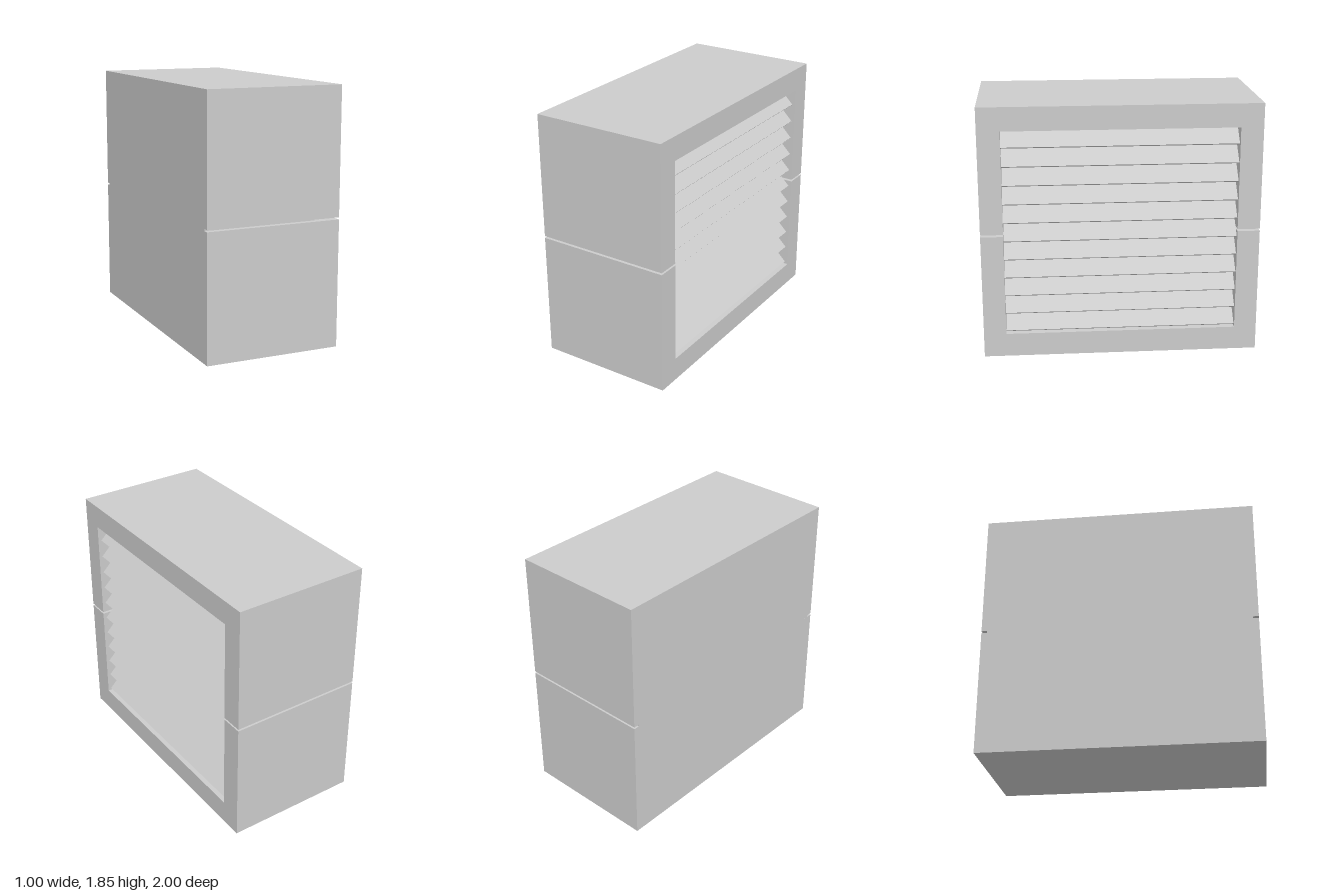
import * as THREE from 'three';

const W = 1, H = 1.85, D = 2;              // overall size
const OPEN_Z = 0.838, OPEN_X = 0.33;       // recess half width and its back plane
const OPEN_Y0 = 0.173, OPEN_Y1 = 1.68;     // recess bottom and top
const GAP_Y0 = 0.918, GAP_Y1 = 0.933;      // seam between the two halves
const SLATS = 11;

export function createModel() {
  const group = new THREE.Group();
  const material = new THREE.MeshStandardMaterial({ color: 0xcccccc, flatShading: true });

  const add = (name, geometry, x, y, z) => {
    const mesh = new THREE.Mesh(geometry, material);
    mesh.name = name;
    mesh.position.set(x, y, z);
    group.add(mesh);
    return mesh;
  };
  const slab = (name, y0, y1) =>
    add(name, new THREE.BoxGeometry(W, y1 - y0, D), 0, (y0 + y1) / 2, 0);

  // C-shaped plan of the casing, open towards +x
  const plan = new THREE.Shape([
    [-W / 2, -D / 2], [W / 2, -D / 2], [W / 2, -OPEN_Z], [OPEN_X, -OPEN_Z],
    [OPEN_X, OPEN_Z], [W / 2, OPEN_Z], [W / 2, D / 2], [-W / 2, D / 2],
  ].map(([x, z]) => new THREE.Vector2(x, z)));
  const casing = (name, y0, y1) => {
    const geometry = new THREE.ExtrudeGeometry(plan, { depth: y1 - y0, bevelEnabled: false });
    geometry.rotateX(-Math.PI / 2);
    add(name, geometry, 0, y0, 0);
  };

  // Lower and upper casing halves with their solid floor and roof
  slab('casingFloor', 0, OPEN_Y0);
  casing('lowerCasing', OPEN_Y0, GAP_Y0);
  casing('upperCasing', GAP_Y1, OPEN_Y1);
  slab('casingRoof', OPEN_Y1, H);

  // Inner core, set back in the seam at front and rear
  add('seamCore', new THREE.BoxGeometry(OPEN_X + W / 2, GAP_Y1 - GAP_Y0, 1.915),
    (OPEN_X - W / 2) / 2, (GAP_Y0 + GAP_Y1) / 2, 0);

  // Louvre slats, sloping down and outwards
  const pitch = (OPEN_Y1 - OPEN_Y0) / SLATS;
  const slatGeometry = new THREE.BoxGeometry(0.158, 0.012, OPEN_Z * 2);
  for (let i = 0; i < SLATS; i++) {
    const slat = add('louvreSlat', slatGeometry, 0.415, OPEN_Y0 + (i + 0.5) * pitch, 0);
    slat.rotation.z = -Math.PI / 4;
  }
  return group;
}
